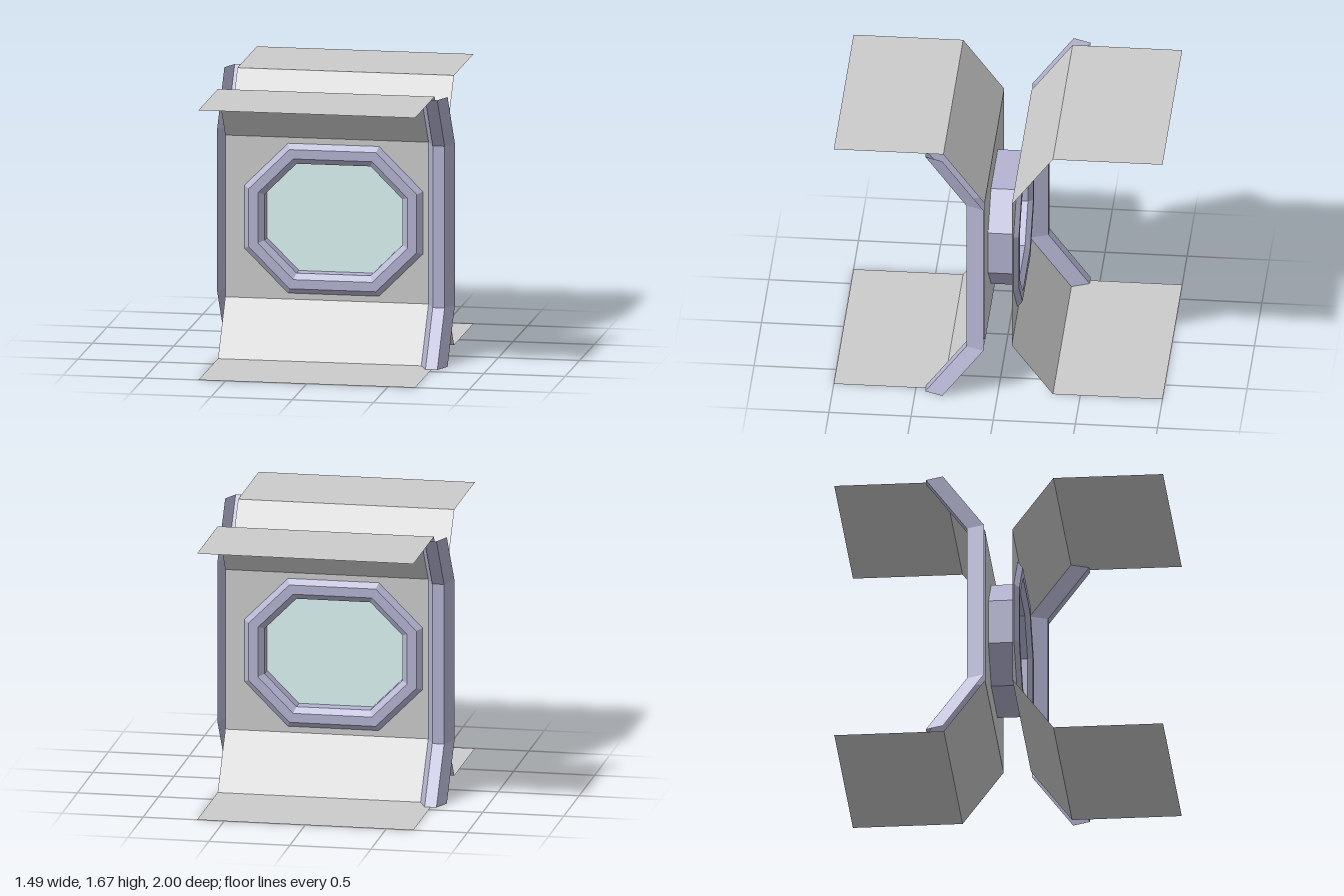
import * as THREE from 'three';

const mat = (color) => new THREE.MeshStandardMaterial({ color, flatShading: true, side: THREE.DoubleSide });

const HALF_W = 0.667, WALL_Z = 0.083, LIP_Z = 0.333;
const LOW = 0.333, HIGH = 1.333, TOP = 1.667, MID_Y = 0.833;

// Skin between successive rows of points; closed joins each row end to start
function loft(rows, closed = false) {
  const pos = [];
  for (let i = 0; i < rows.length - 1; i++) {
    const n = rows[i].length;
    for (let j = 0; j < (closed ? n : n - 1); j++) {
      const k = (j + 1) % n;
      const [a, b, c, d] = [rows[i][j], rows[i][k], rows[i + 1][k], rows[i + 1][j]];
      pos.push(...a, ...b, ...c, ...a, ...c, ...d);
    }
  }
  const g = new THREE.BufferGeometry();
  g.setAttribute('position', new THREE.Float32BufferAttribute(pos, 3));
  g.computeVertexNormals();
  return g;
}

// Stretched octagon, counter-clockwise, shrunk evenly by inset
function octagon(inset) {
  const w = 0.55 - inset, h = 0.463 - inset, cut = 0.27 - inset * 0.586;
  return [[w, -h + cut], [w, h - cut], [w - cut, h], [-w + cut, h],
    [-w, h - cut], [-w, -h + cut], [-w + cut, -h], [w - cut, -h]]
    .map(([x, y]) => [x, y + MID_Y]);
}
const ring = (inset, z) => octagon(inset).map(([x, y]) => [x, y, z]);
const vec = (pts) => pts.map(([x, y]) => new THREE.Vector2(x, y));

function add(parent, name, geometry, material) {
  const m = new THREE.Mesh(geometry, material);
  m.name = name;
  parent.add(m);
}

export function createModel() {
  const model = new THREE.Group();
  model.name = 'windowWall';
  const grey = mat(0xcccccc), trim = mat(0xb4b4d2), glass = mat(0xdcf6f4);

  // Folded panel, window frame and rib; the second side is turned half round
  for (let s = 0; s < 2; s++) {
    const side = new THREE.Group();
    side.name = s ? 'backSide' : 'frontSide';
    side.rotation.y = s * Math.PI;
    model.add(side);

    // Upright wall with the window opening
    const wall = new THREE.Shape(vec([[-HALF_W, LOW], [HALF_W, LOW], [HALF_W, HIGH], [-HALF_W, HIGH]]));
    wall.holes.push(new THREE.Path(vec(octagon(0.125).reverse())));
    const wallGeo = new THREE.ShapeGeometry(wall);
    wallGeo.translate(0, 0, WALL_Z);
    add(side, 'wall', wallGeo, grey);

    // Sloped skirts folding out into flat floor and ceiling panels
    const fold = (profile) => loft(profile.map(([y, z]) => [[-HALF_W, y, z], [HALF_W, y, z]]));
    add(side, 'floorPanel', fold([[0, 1], [0, LIP_Z], [LOW, WALL_Z]]), grey);
    add(side, 'ceilingPanel', fold([[HIGH, WALL_Z], [TOP, LIP_Z], [TOP, 1]]), grey);

    // Bevelled window frame and the lining of the opening
    add(side, 'windowFrame', loft([
      ring(0, WALL_Z), ring(0.033, 0.113), ring(0.09, 0.113), ring(0.125, WALL_Z)], true), trim);
    add(side, 'windowLining', loft([ring(0.125, WALL_Z), ring(0.125, 0)], true), trim);

    // Open channel rib following the bends of the panel at one edge
    const section = [[0.585, 0], [0.63, 0.107], [0.703, 0.107], [0.747, 0]];
    const path = [[0, LIP_Z], [LOW, WALL_Z], [HIGH, WALL_Z], [TOP, LIP_Z]];
    add(side, 'rib', loft(path.map(([y, z]) => section.map(([x, dz]) => [x, y, z + dz]))), trim);
  }

  // Single pane in the middle of the opening
  add(model, 'windowPane', new THREE.ShapeGeometry(new THREE.Shape(vec(octagon(0.125)))), glass);

  return model;
}
